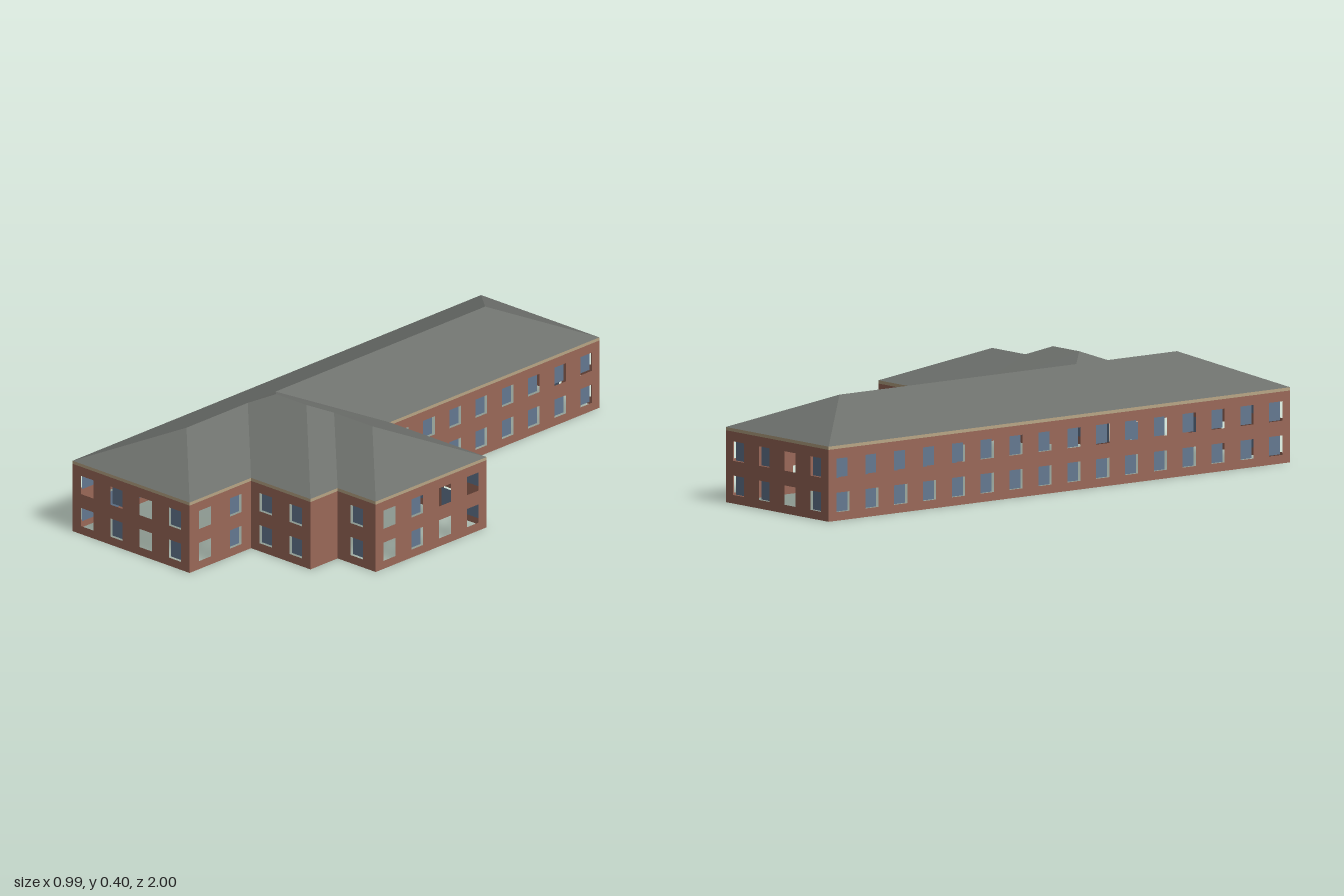
import * as THREE from 'three';

const WALL_TOP = 0.244, EAVE = 0.255;
const WIN_W = 0.057, WIN_H = 0.066, SILLS = [0.029, 0.145], RECESS = 0.012;

const material = (name, color) => {
  const m = new THREE.MeshStandardMaterial({ color, side: THREE.DoubleSide });
  m.name = name;
  return m;
};

// Footprint corners [x, z, y at eave], in order around the building
const P = {
  sw: [-0.497, 1], se: [0.041, 1], a: [0.042, 0.7], b: [0.315, 0.7], c: [0.315, 0.567],
  d: [0.49, 0.567], e: [0.492, 0.026], f: [0.046, 0.026], ne: [0.047, -1], nw: [-0.497, -1],
};
for (const k in P) P[k].push(EAVE);

// Ridge points [x, z, y]
const R = {
  north: [-0.225, -0.73, 0.371], dipN: [-0.225, 0.296, 0.371], dipS: [-0.225, 0.432, 0.371],
  south: [-0.225, 0.732, 0.371], topW: [-0.16, 0.362, 0.4], topE: [-0.021, 0.362, 0.4],
  wingW: [0.045, 0.297, 0.371], wingE: [0.221, 0.297, 0.371],
};

// Each wall: start, end, windows per storey, window bays left open
const WALLS = [
  ['frontWall', P.sw, P.se, 4, [0, 2]],
  ['frontReturnWall', P.se, P.a, 2, [0]],
  ['middleFrontWall', P.a, P.b, 2, []],
  ['middleReturnWall', P.b, P.c, 0, []],
  ['wingFrontWall', P.c, P.d, 1, []],
  ['wingEndWall', P.d, P.e, 4, [0, 2, 3]],
  ['wingBackWall', P.e, P.f, 4, []],
  ['longInnerWall', P.f, P.ne, 8, []],
  ['backWall', P.ne, P.nw, 4, [2]],
  ['longOuterWall', P.nw, P.sw, 16, []],
];

const SLOPES = [
  [P.nw, P.sw, R.south, R.dipS, R.topW, R.dipN, R.north],
  [P.nw, R.north, P.ne],
  [P.ne, R.north, R.dipN, P.f],
  [P.f, R.dipN, R.topW, R.topE, R.wingW, R.wingE, P.e],
  [P.e, R.wingE, P.d],
  [P.d, R.wingE, R.wingW, P.c],
  [P.c, R.wingW, R.topE, P.b],
  [P.b, R.topE, R.topW, R.dipS, P.a],
  [P.a, R.dipS, R.south, P.se],
  [P.se, R.south, P.sw],
];

const rectangle = (x, y, w, h) => [[x, y], [x + w, y], [x + w, y + h], [x, y + h]]
  .map(([u, v]) => new THREE.Vector2(u, v));

function addMesh(parent, name, geometry, mat) {
  const mesh = new THREE.Mesh(geometry, mat);
  mesh.name = name;
  parent.add(mesh);
  return mesh;
}

// Wall sheet with window openings, recessed panes and a pale band under the eave
function buildWall([name, from, to, count, open], mats) {
  const wall = new THREE.Group();
  wall.name = name;
  const dx = to[0] - from[0], dz = to[1] - from[1], length = Math.hypot(dx, dz);
  wall.position.set(from[0], 0, from[1]);
  wall.rotation.y = Math.atan2(-dz, dx);

  const sheet = new THREE.Shape(rectangle(0, 0, length, WALL_TOP));
  for (let i = 0; i < count; i++) {
    const mid = (i + 0.5) * length / count;
    for (const sill of SILLS) {
      sheet.holes.push(new THREE.Path(rectangle(mid - WIN_W / 2, sill, WIN_W, WIN_H)));
      if (open.includes(i)) continue;
      addMesh(wall, 'windowPane', new THREE.PlaneGeometry(WIN_W, WIN_H), mats.glass)
        .position.set(mid, sill + WIN_H / 2, -RECESS);
    }
  }
  addMesh(wall, 'brickwork', new THREE.ShapeGeometry(sheet), mats.brick);
  addMesh(wall, 'eaveBand', new THREE.PlaneGeometry(length, EAVE - WALL_TOP), mats.band)
    .position.set(length / 2, (EAVE + WALL_TOP) / 2, 0);
  return wall;
}

// Flat roof slope: triangulate in plan, then lift each corner to its height
function slopeGeometry(corners) {
  const plan = new THREE.Shape(corners.map(([x, z]) => new THREE.Vector2(x, -z)));
  const geometry = new THREE.ShapeGeometry(plan);
  const pos = geometry.attributes.position;
  for (let i = 0; i < pos.count; i++) {
    const x = pos.getX(i), z = -pos.getY(i);
    const corner = corners.find(c => Math.hypot(c[0] - x, c[1] - z) < 1e-4);
    pos.setXYZ(i, x, corner[2], z);
  }
  const flat = geometry.toNonIndexed();
  flat.computeVertexNormals();
  return flat;
}

export function createModel() {
  const mats = {
    brick: material('brick', 0x9a6858),
    band: material('pale band', 0xb8a585),
    glass: material('window glass', 0x647890),
    roof: material('grey roof', 0x6d706c),
  };
  const model = new THREE.Group();
  model.name = 'building';
  for (const wall of WALLS) model.add(buildWall(wall, mats));

  const roof = new THREE.Group();
  roof.name = 'roof';
  for (const corners of SLOPES) addMesh(roof, 'roofSlope', slopeGeometry(corners), mats.roof);
  model.add(roof);
  return model;
}
